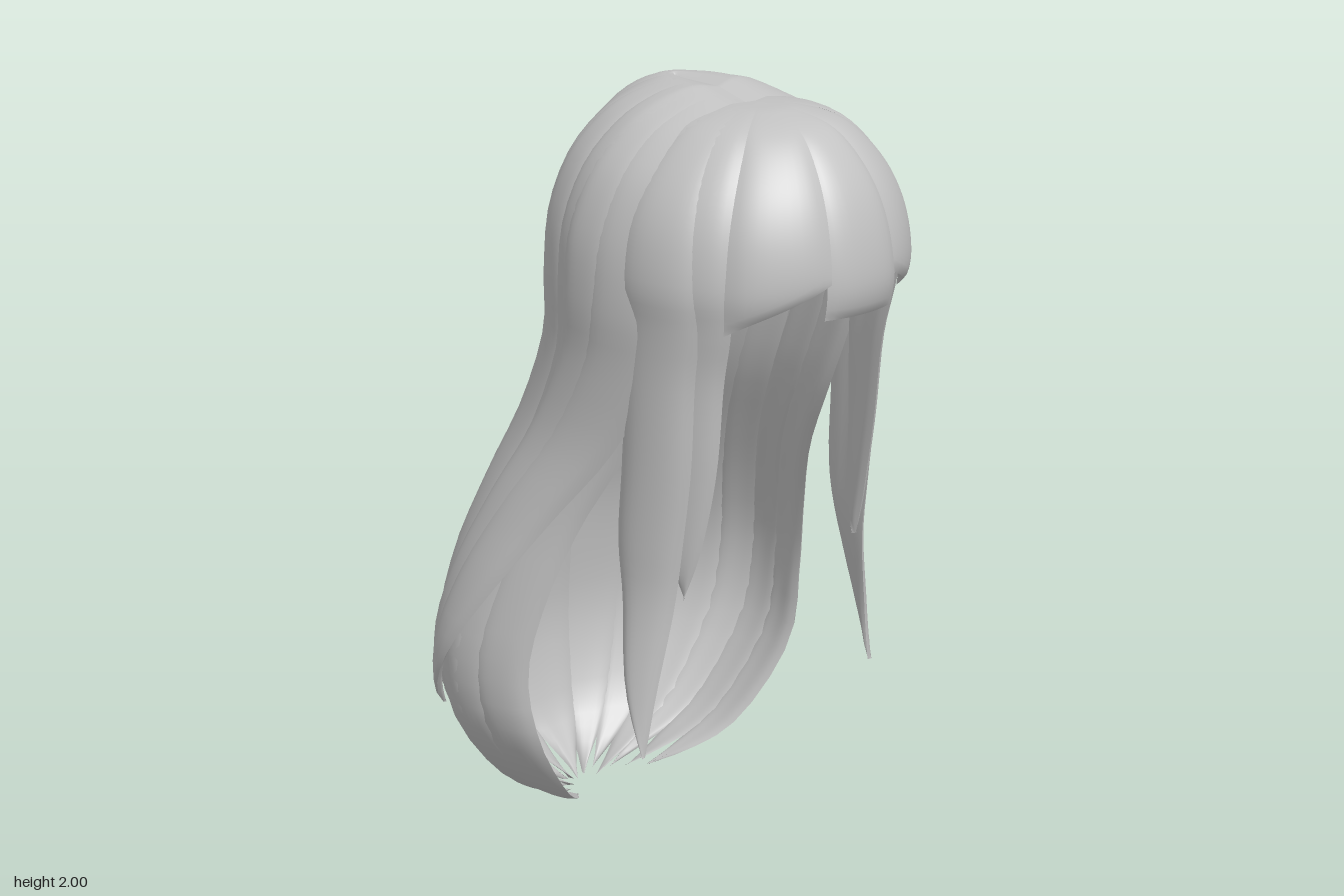
import * as THREE from 'three';

const hair = new THREE.MeshStandardMaterial({ color: 0xc2c2c2, side: THREE.DoubleSide });
hair.name = 'pale grey hair';

// Flow surface from rows of [y, half width, depth, centre z]; angle 0 faces the front, 90 the left side.
// frontDrop lowers the forward part of the crown.
function flowSurface(rows, frontDrop) {
  const size = new THREE.CatmullRomCurve3(rows.map(r => new THREE.Vector3(r[1], r[0], r[2])), false, 'catmullrom');
  const mid = new THREE.CatmullRomCurve3(rows.map(r => new THREE.Vector3(r[3], 0, 0)), false, 'catmullrom');
  const last = rows.length - 1;
  return (row, degrees, offset) => {
    const u = THREE.MathUtils.clamp(row / last, 0, 1);
    const a = THREE.MathUtils.degToRad(degrees);
    const p = size.getPoint(u);
    const o = offset * THREE.MathUtils.smoothstep(row, 0, 3);
    const drop = frontDrop * Math.max(0, Math.cos(a) + 0.2) * (1 - THREE.MathUtils.smoothstep(row, 1, 5));
    return [(p.x + o) * Math.sin(a), p.y - drop, mid.getPoint(u).x + (p.z + o) * Math.cos(a)];
  };
}

// Crown, sides and back, falling to a gathered tip
const backFlow = flowSurface([
  [1.988, 0, 0.18, 0.16], [1.997, 0.07, 0.19, 0.15], [1.972, 0.15, 0.235, 0.135], [1.92, 0.23, 0.28, 0.12],
  [1.83, 0.305, 0.335, 0.11], [1.7, 0.352, 0.37, 0.1], [1.55, 0.365, 0.385, 0.1], [1.4, 0.358, 0.375, 0.08],
  [1.2, 0.372, 0.37, 0], [1.0, 0.425, 0.36, -0.1], [0.8, 0.483, 0.365, -0.17], [0.6, 0.518, 0.36, -0.21],
  [0.4, 0.485, 0.365, -0.22], [0.2, 0.345, 0.295, -0.25], [0.1, 0.2, 0.195, -0.29], [0, 0.035, 0.05, -0.36],
], 0.045);

// Fringe and front side locks
const frontFlow = flowSurface([
  [1.975, 0, 0.02, 0.25], [1.968, 0.09, 0.1, 0.25], [1.935, 0.19, 0.19, 0.25], [1.85, 0.28, 0.265, 0.25],
  [1.75, 0.335, 0.31, 0.25], [1.63, 0.358, 0.33, 0.25], [1.53, 0.35, 0.315, 0.25], [1.4, 0.345, 0.29, 0.24],
  [1.2, 0.345, 0.285, 0.23], [1.0, 0.35, 0.28, 0.21], [0.85, 0.355, 0.25, 0.21], [0.65, 0.385, 0.21, 0.22],
  [0.48, 0.4, 0.15, 0.25],
], 0);

// One lens-shaped strand lying on a flow surface
function strand(name, flow, o) {
  const { angle, half, end, drift = 0, taper = 30, blunt = false, lift = 0, tilt = 0, skew = 0, wave = 0, thick = 0.012 } = o;
  const steps = 44, across = 10, positions = [], index = [];
  for (const side of [1, -1]) {
    const base = positions.length / 3;
    for (let i = 0; i <= steps; i++) {
      const v = i / steps;
      const close = Math.sqrt(Math.max(0, 1 - v ** 12));
      const width = half * (blunt ? 1 : 1 - v ** taper);
      for (let j = 0; j <= across; j++) {
        const s = (j / across) * 2 - 1;
        const row = v * (end + skew * s);
        const degrees = angle + drift * v ** 4 + wave * Math.sin(row * 0.75) * v + width * s;
        const body = side * thick * (side < 0 ? 1.6 : 1) * (1 - s ** 4) * close;
        positions.push(...flow(row, degrees, lift * v + tilt * s + body));
      }
    }
    for (let i = 0; i < steps; i++) {
      for (let j = 0; j < across; j++) {
        const a = base + i * (across + 1) + j, b = a + across + 1;
        if (side > 0) index.push(a, b, b + 1, a, b + 1, a + 1);
        else index.push(a, b + 1, b, a, a + 1, b + 1);
      }
    }
  }
  const geometry = new THREE.BufferGeometry();
  geometry.setAttribute('position', new THREE.Float32BufferAttribute(positions, 3));
  geometry.setIndex(index);
  geometry.computeVertexNormals();
  const mesh = new THREE.Mesh(geometry, hair);
  mesh.name = name;
  return mesh;
}

// A strand and its mirror image
function pair(name, flow, o) {
  const m = { ...o };
  for (const key of ['angle', 'drift', 'tilt', 'skew', 'wave']) m[key] = -(o[key] || 0);
  return [strand('left' + name, flow, o), strand('right' + name, flow, m)];
}

export function createModel() {
  const model = new THREE.Group();
  model.name = 'longHair';

  // Long back hair
  const back = new THREE.Group();
  back.name = 'backHair';
  back.add(strand('centreBackStrand', backFlow, { angle: 180, half: 17, end: 15, thick: 0.013, wave: 2 }));
  [
    { angle: 158, half: 13, end: 14.9, tilt: 0.009, wave: 2 },
    { angle: 139, half: 13, end: 14.8, tilt: -0.008, wave: 3 },
    { angle: 121, half: 13, end: 14.9, tilt: 0.009, wave: 2 },
    { angle: 104, half: 12, end: 14.7, tilt: -0.008, wave: -2 },
    { angle: 89, half: 13, end: 14.6, tilt: 0.008, wave: 2 },
    { angle: 75, half: 12, end: 14.4, drift: -6, tilt: -0.005, wave: 2 },
  ].forEach((o, i) => back.add(...pair('BackStrand' + (i + 1), backFlow, o)));

  // Outer side strands sweeping backwards
  back.add(...pair('SweptStrand', backFlow, { angle: 73, half: 17, end: 12.1, drift: 48, taper: 6, lift: 0.024, tilt: -0.004 }));
  back.add(...pair('InnerSweptStrand', backFlow, { angle: 92, half: 13, end: 11.9, drift: 32, taper: 6, lift: 0.014 }));
  model.add(back);

  // Front side locks
  const locks = new THREE.Group();
  locks.name = 'sideLocks';
  locks.add(...pair('FrontLock', frontFlow, { angle: 72, half: 20, end: 9.9, drift: -10, taper: 7, lift: -0.03, tilt: -0.006 }));
  locks.add(...pair('LongLock', frontFlow, { angle: 84, half: 20, end: 12, drift: -8, taper: 8, tilt: 0.006 }));
  locks.add(...pair('TempleStrand', frontFlow, { angle: 99, half: 14, end: 6.9, taper: 6 }));
  model.add(locks);

  // Fringe
  const fringe = new THREE.Group();
  fringe.name = 'fringe';
  fringe.add(strand('centreFringe', frontFlow, { angle: 2, half: 18, end: 5.8, blunt: true, lift: 0.004, thick: 0.014, skew: 0.05 }));
  fringe.add(...pair('Fringe', frontFlow, { angle: 34, half: 20, end: 5.45, blunt: true, skew: 0.55, tilt: -0.006, thick: 0.014 }));
  model.add(fringe);

  return model;
}
